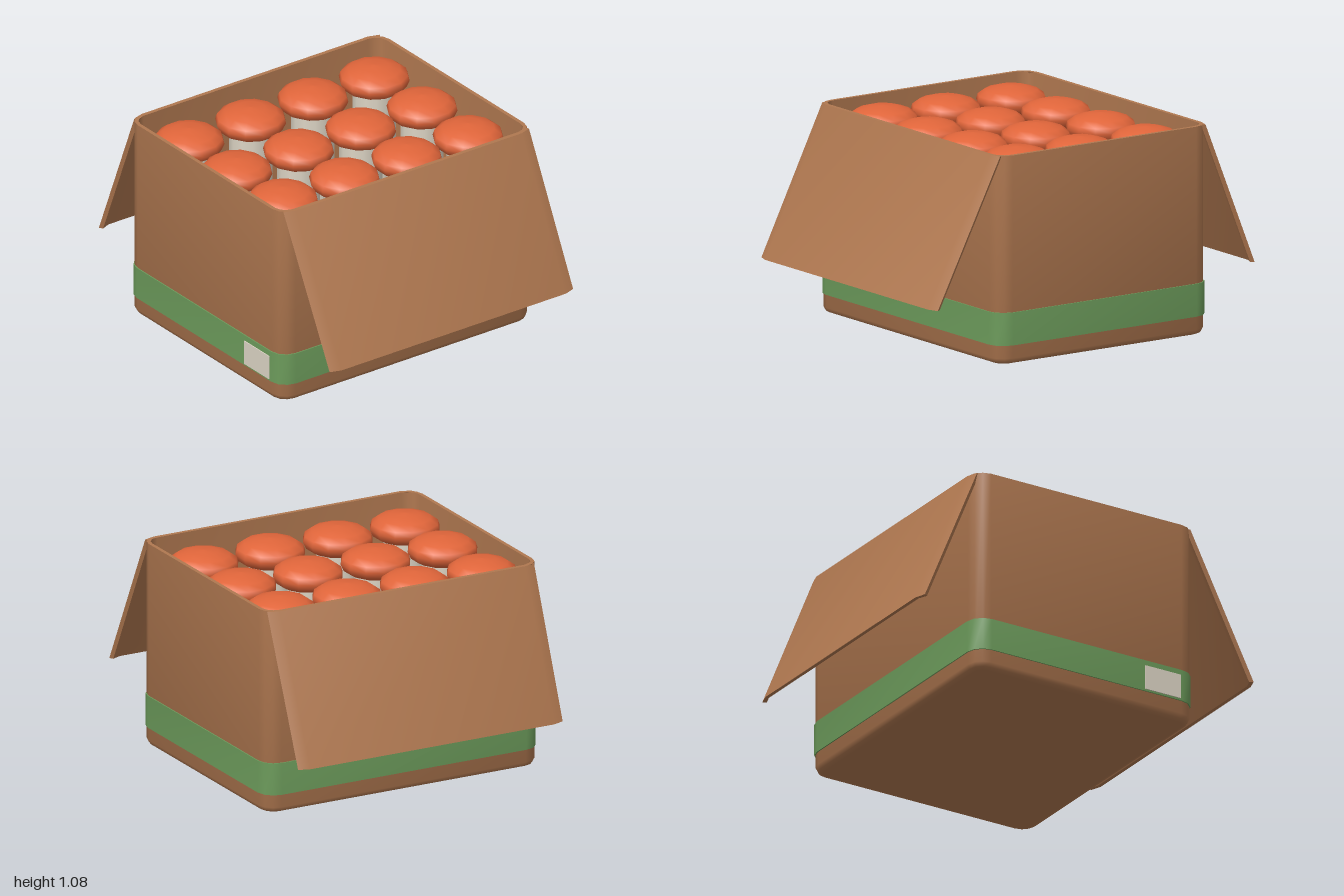
import * as THREE from 'three';
import { toCreasedNormals } from 'three/addons/utils/BufferGeometryUtils.js';

const HALF_X = 0.79, HALF_Z = 0.653, MID_Z = -0.037, RIM = 1.08;

function material(name, color, side = THREE.FrontSide) {
  const m = new THREE.MeshStandardMaterial({ color, side });
  m.name = name;
  return m;
}

// Rounded-rectangle outline, counted from +x towards +z
function outline(inset, radius = 0.085, steps = 3) {
  const r = Math.max(radius - inset, 0.02), pts = [];
  const cx = HALF_X - inset - r, cz = HALF_Z - inset - r;
  [[1, 1], [-1, 1], [-1, -1], [1, -1]].forEach(([sx, sz], q) => {
    for (let i = 0; i <= steps; i++) {
      const a = (q + i / steps) * Math.PI / 2;
      pts.push([sx * cx + r * Math.cos(a), sz * cz + r * Math.sin(a)]);
    }
  });
  return pts;
}

// Skin over a stack of outlines: each level is [inset, y, scale]
function loft(levels) {
  const pos = [], idx = [];
  const n = outline(0).length;
  levels.forEach(([inset, y, scale = 1], k) => {
    outline(inset).forEach(([x, z]) => pos.push(x * scale, y, z * scale + MID_Z));
    if (k === 0) return;
    for (let i = 0; i < n; i++) {
      const j = (i + 1) % n, a = (k - 1) * n, b = k * n;
      idx.push(a + i, b + i, a + j, a + j, b + i, b + j);
    }
  });
  const g = new THREE.BufferGeometry();
  g.setAttribute('position', new THREE.Float32BufferAttribute(pos, 3));
  g.setIndex(idx);
  return toCreasedNormals(g, 0.9);
}

// Flap with softly bent ends, leaning out from the rim
function flapGeometry(reach, drop) {
  const t = 0.02, w = 0.77, bend = 0.06;
  const s = new THREE.Shape();
  s.moveTo(-w, 0.02);
  s.lineTo(-w + bend, 0);
  s.lineTo(w - bend, 0);
  s.lineTo(w, 0.02);
  s.lineTo(w - 0.012, 0.02 + t);
  s.lineTo(w - bend, t);
  s.lineTo(-w + bend, t);
  s.lineTo(-w + 0.012, 0.02 + t);
  s.closePath();
  const g = new THREE.ExtrudeGeometry(s, { depth: drop, bevelEnabled: false });
  g.rotateX(Math.PI / 2); // profile lies flat, extrusion runs down
  const p = g.attributes.position;
  for (let i = 0; i < p.count; i++) {
    const f = -p.getY(i) / drop;
    p.setZ(i, -p.getZ(i) + f * reach);
    p.setX(i, p.getX(i) * (1 - 0.008 * f));
  }
  // mirroring z flips the corners, so swap them back
  for (let i = 0; i < p.count; i += 3) {
    const a = [p.getX(i), p.getY(i), p.getZ(i)];
    p.setXYZ(i, p.getX(i + 1), p.getY(i + 1), p.getZ(i + 1));
    p.setXYZ(i + 1, ...a);
  }
  return toCreasedNormals(g, 0.5);
}

export function createModel() {
  const model = new THREE.Group();
  const cardboard = material('cardboard', 0xb07850, THREE.DoubleSide);
  const green = material('green band', 0x6c9b5b);
  const orange = material('orange cap', 0xe0653a);
  const cream = material('cream', 0xdcd4c4);

  const add = (name, geometry, mat, x = 0, y = 0, z = 0, parent = model) => {
    const mesh = new THREE.Mesh(geometry, mat);
    mesh.name = name;
    mesh.position.set(x, y, z);
    parent.add(mesh);
    return mesh;
  };

  // Open box: underside, rounded foot, wall, rim, inside wall, floor
  add('box', loft([
    [0.035, 0, 0.001], [0.035, 0], [0.012, 0.009], [0, 0.032], [0, RIM],
    [0.02, RIM], [0.02, 0.03], [0.02, 0.03, 0.001],
  ]), cardboard);

  // Painted band around the lower wall
  add('band', loft([[0.001, 0.1], [-0.006, 0.1], [-0.006, 0.27], [0.001, 0.27]]), green);

  // Labels on the side of the band and high on the front wall
  add('sideLabel', new THREE.BoxGeometry(0.006, 0.13, 0.21), cream, -0.798, 0.175, 0.415);
  add('frontPlate', new THREE.BoxGeometry(0.4, 0.19, 0.009), cardboard, 0, 0.885, 0.62);

  // Folded-out flaps
  add('frontFlap', flapGeometry(0.382, 0.75), cardboard, 0.003, RIM, 0.618);
  add('backFlap', flapGeometry(0.308, 0.75), cardboard, 0.008, RIM, -0.692).rotation.y = Math.PI;

  // Three rows of four round-capped pieces
  const capProfile = [
    [0, 0.935], [0.13, 0.935], [0.165, 0.955], [0.181, 0.99],
    [0.172, 1.018], [0.135, 1.045], [0.075, 1.062], [0, 1.068],
  ].map(([x, y]) => new THREE.Vector2(x, y));
  const capGeometry = new THREE.LatheGeometry(capProfile, 12, Math.PI / 12);
  const stemGeometry = new THREE.CylinderGeometry(0.11, 0.11, 0.92, 12);
  for (const z of [-0.445, -0.04, 0.35]) {
    for (const x of [-0.587, -0.2, 0.19, 0.575]) {
      const piece = new THREE.Group();
      piece.name = 'cappedPiece';
      piece.position.set(x, 0, z);
      add('cap', capGeometry, orange, 0, 0, 0, piece);
      add('stem', stemGeometry, cream, 0, 0.49, 0, piece);
      model.add(piece);
    }
  }
  return model;
}
